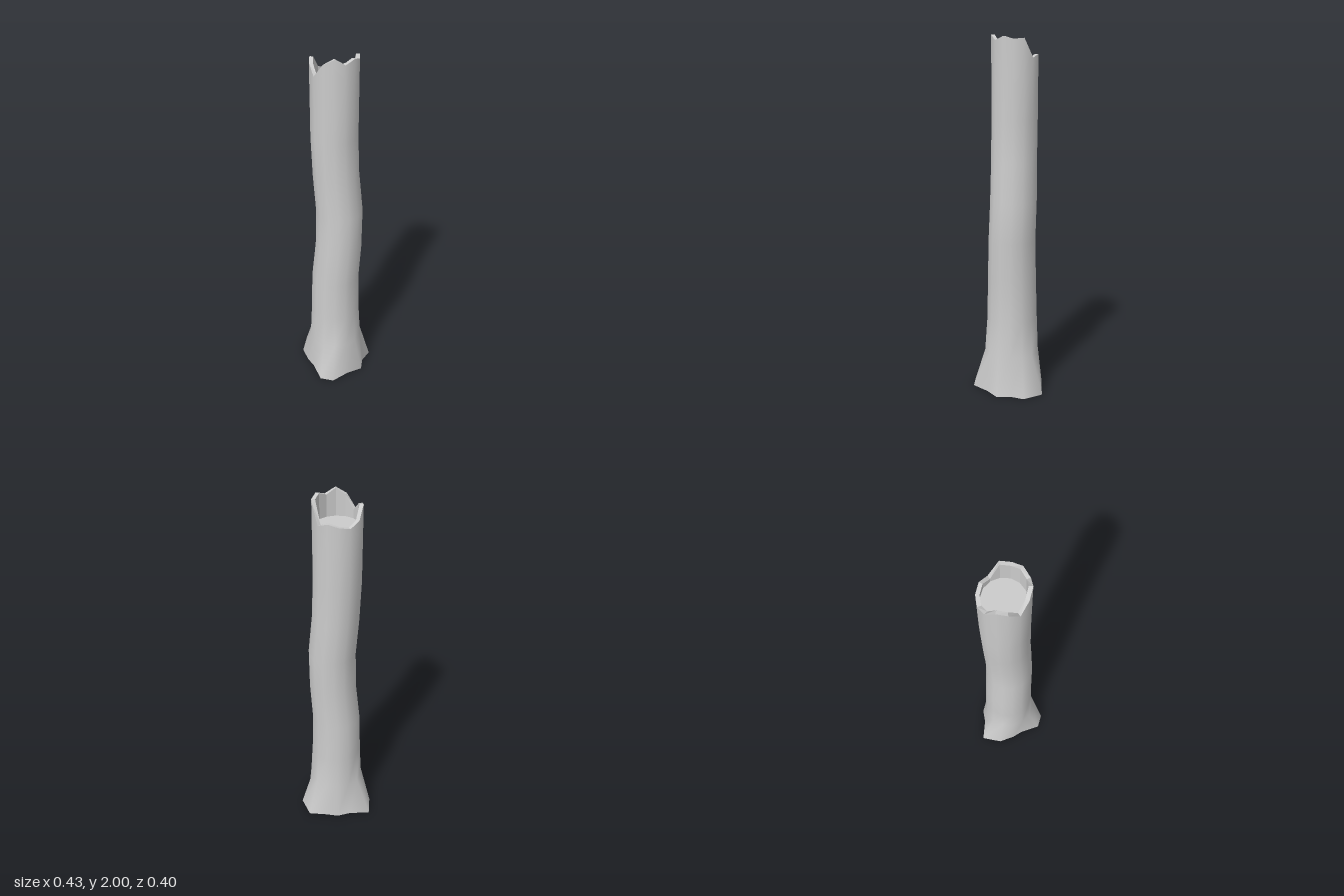
import * as THREE from 'three';

const SIDES = 14;
const material = new THREE.MeshStandardMaterial({ color: 0xcccccc, side: THREE.DoubleSide });

// Regular ring of points; y may be a number or one height per corner
function ring(y, cx, cz, r) {
  return Array.from({ length: SIDES }, (_, k) => {
    const a = (k / SIDES) * Math.PI * 2;
    return [cx + r * Math.cos(a), Array.isArray(y) ? y[k] : y, cz + r * Math.sin(a)];
  });
}

// Skin between successive rings, smooth or faceted
function loft(name, rings, faceted = false) {
  const index = [];
  for (let i = 0; i < rings.length - 1; i++) {
    for (let k = 0; k < SIDES; k++) {
      const n = (k + 1) % SIDES;
      const a = i * SIDES + k, b = i * SIDES + n;
      index.push(a, a + SIDES, b, b, a + SIDES, b + SIDES);
    }
  }
  let geometry = new THREE.BufferGeometry();
  geometry.setAttribute('position', new THREE.Float32BufferAttribute(rings.flat(2), 3));
  geometry.setIndex(index);
  if (faceted) geometry = geometry.toNonIndexed();
  geometry.computeVertexNormals();
  const mesh = new THREE.Mesh(geometry, material);
  mesh.name = name;
  return mesh;
}

export function createModel() {
  const group = new THREE.Group();
  group.name = 'brokenTrunk';

  // Irregular root flare on the ground, starting at +x and turning towards +z
  const roots = [
    [0.187, -0.022], [0.195, 0.055], [0.12, 0.115], [0.05, 0.2], [-0.03, 0.2],
    [-0.1, 0.1], [-0.15, 0.055], [-0.205, -0.022], [-0.215, -0.14], [-0.1, -0.163],
    [-0.03, -0.197], [0.05, -0.197], [0.147, -0.203], [0.213, -0.1],
  ].map(([x, z]) => [x, 0, z]);

  // Jagged break heights around the top
  const jagged = [1.975, 1.99, 1.97, 2.0, 1.97, 1.9, 1.95, 1.965, 1.9, 1.875, 1.885, 1.9, 1.88, 1.98];

  // Bent trunk: y, centre x, centre z, radius
  const sections = [
    [0.22, 0.01, -0.02, 0.156],
    [0.42, 0.008, -0.023, 0.145],
    [0.66, 0.009, -0.022, 0.139],
    [0.88, 0.027, -0.023, 0.134],
    [1.1, 0.029, -0.031, 0.132],
    [1.32, 0.009, -0.033, 0.129],
    [1.55, -0.001, -0.035, 0.129],
  ];
  const top = [-0.002, -0.036];
  const outer = ring(jagged, ...top, 0.129);
  const inner = ring(jagged, ...top, 0.109);
  const floor = ring(1.855, ...top, 0.109);

  group.add(loft('bark', [roots, ...sections.map((s) => ring(...s)), outer]));

  // Splintered rim and the hollow inside it
  group.add(loft('rim', [outer, inner], true));
  group.add(loft('hollowWall', [inner, floor], true));
  group.add(loft('hollowFloor', [floor, ring(1.855, ...top, 0)]));

  return group;
}
